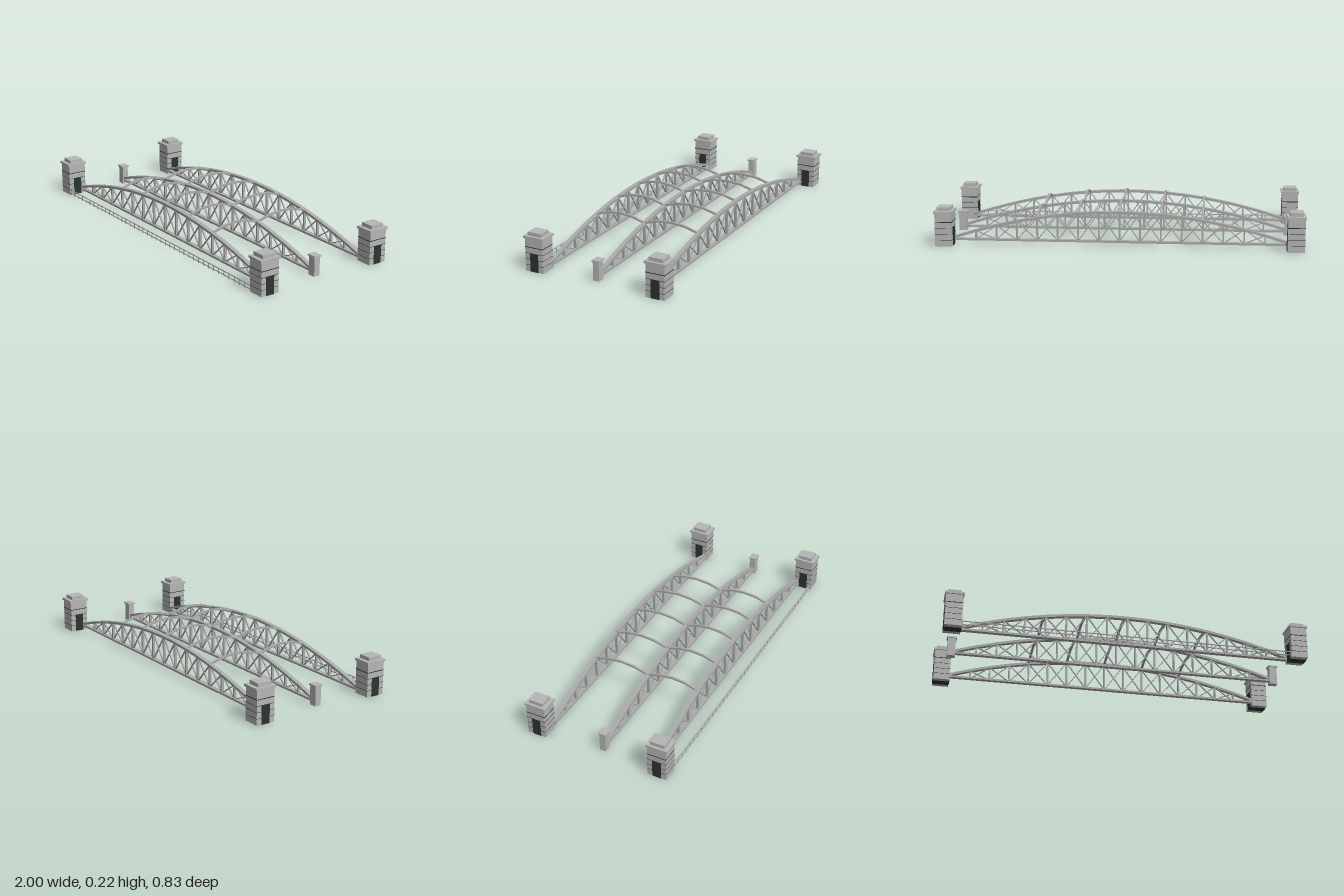
import * as THREE from 'three';

const stone = new THREE.MeshStandardMaterial({ color: 0xb6b6b6 });
stone.name = 'stone';
const steel = new THREE.MeshStandardMaterial({ color: 0xaaaaaa });
steel.name = 'steel';
const dark = new THREE.MeshStandardMaterial({ color: 0x2b3532 });
dark.name = 'dark';

const HALF = 0.9, PANELS = 16, STEP = (2 * HALF) / PANELS;
const SIDE_Z = 0.312, MID_Z = 0.014, BOTTOM_Y = 0.022;
const archY = (x) => 0.183 - 0.148 * (x / HALF) ** 2;

function add(parent, name, geometry, material, x = 0, y = 0, z = 0) {
  const mesh = new THREE.Mesh(geometry, material);
  mesh.name = name;
  mesh.position.set(x, y, z);
  parent.add(mesh);
  return mesh;
}

const box = (parent, name, w, h, d, material, x, y, z) =>
  add(parent, name, new THREE.BoxGeometry(w, h, d), material, x, y, z);

// Straight bar between two points in the plane of a truss
function bar(parent, name, x0, y0, x1, y1, height, depth) {
  const length = Math.hypot(x1 - x0, y1 - y0);
  const mesh = box(parent, name, length, height, depth, steel, (x0 + x1) / 2, (y0 + y1) / 2, 0);
  mesh.rotation.z = Math.atan2(y1 - y0, x1 - x0);
}

// Curved flat-sided band following f from a to b
function bandGeometry(a, b, segments, f, height, depth) {
  const upper = [], lower = [];
  for (let i = 0; i <= segments; i++) {
    const t = a + ((b - a) * i) / segments;
    lower.push(new THREE.Vector2(t, f(t) - height / 2));
    upper.unshift(new THREE.Vector2(t, f(t) + height / 2));
  }
  const shape = new THREE.Shape([...lower, ...upper]);
  return new THREE.ExtrudeGeometry(shape, { depth, bevelEnabled: false }).translate(0, 0, -depth / 2);
}

// Arched truss: chords, posts and crossed diagonals
function makeTruss(z) {
  const truss = new THREE.Group();
  truss.name = 'archTruss';
  truss.position.z = z;
  add(truss, 'topChord', bandGeometry(-HALF - 0.005, HALF + 0.005, PANELS, archY, 0.014, 0.024), steel);
  box(truss, 'bottomChord', 2 * HALF + 0.02, 0.011, 0.024, steel, 0, BOTTOM_Y, 0);
  for (let i = 1; i < PANELS; i++) {
    const x = -HALF + i * STEP;
    const top = archY(x);
    box(truss, 'post', 0.009, top - BOTTOM_Y, 0.014, steel, x, (top + BOTTOM_Y) / 2, 0);
    if (i === PANELS - 1) continue;
    bar(truss, 'diagonal', x, BOTTOM_Y, x + STEP, archY(x + STEP), 0.005, 0.008);
    bar(truss, 'diagonal', x, top, x + STEP, BOTTOM_Y, 0.005, 0.008);
  }
  return truss;
}

// Stone tower with a passage, dark joints and a stepped cap
function makeTower(x, z) {
  const tower = new THREE.Group();
  tower.name = 'cornerTower';
  tower.position.set(x, 0, z);
  box(tower, 'towerBody', 0.092, 0.18, 0.107, stone, 0, 0.09, 0);
  box(tower, 'towerCap', 0.102, 0.013, 0.122, stone, 0, 0.1865, 0);
  box(tower, 'towerTop', 0.073, 0.02, 0.08, stone, 0, 0.203, 0);
  box(tower, 'doorway', 0.095, 0.101, 0.049, dark, 0, 0.0495, 0);
  [0.035, 0.067, 0.1, 0.133].forEach((y, i) =>
    box(tower, 'stoneJoint', 0.0932, i === 3 ? 0.004 : 0.002, 0.1082, dark, 0, y, 0));
  return tower;
}

// Small pier at the end of the middle truss
function makePier(x) {
  const pier = new THREE.Group();
  pier.name = 'middlePier';
  pier.position.set(x, 0, MID_Z);
  box(pier, 'pierBody', 0.044, 0.105, 0.035, stone, 0, 0.0525, 0);
  box(pier, 'pierCap', 0.054, 0.009, 0.045, stone, 0, 0.1085, 0);
  return pier;
}

export function createModel() {
  const bridge = new THREE.Group();
  bridge.name = 'archBridge';

  for (const z of [-SIDE_Z, MID_Z, SIDE_Z]) bridge.add(makeTruss(z));
  for (const sx of [-1, 1]) {
    bridge.add(makePier(sx * 0.925));
    for (const sz of [-1, 1]) bridge.add(makeTower(sx * 0.949, sz * 0.355));
  }

  // Humped cross struts between neighbouring trusses
  for (let i = -2; i <= 2; i++) {
    const x = i * STEP * 2;
    for (const [a, b] of [[-SIDE_Z, MID_Z], [MID_Z, SIDE_Z]]) {
      const hump = (t) => {
        const u = (2 * t - a - b) / (b - a);
        return archY(x) + 0.002 + 0.031 * (1 - u * u);
      };
      const geometry = bandGeometry(a, b, 4, hump, 0.011, 0.012).rotateY(-Math.PI / 2);
      add(bridge, 'crossStrut', geometry, steel, x);
    }
  }

  // Low railing along the front
  const railing = new THREE.Group();
  railing.name = 'frontRailing';
  railing.position.z = 0.402;
  for (const y of [0.01, 0.03]) box(railing, 'rail', 2 * HALF + 0.02, 0.004, 0.005, steel, 0, y, 0);
  for (let i = 0; i <= 40; i++) {
    box(railing, 'railPost', 0.004, 0.03, 0.004, steel, -HALF + (i * 2 * HALF) / 40, 0.015, 0);
  }
  bridge.add(railing);
  return bridge;
}
